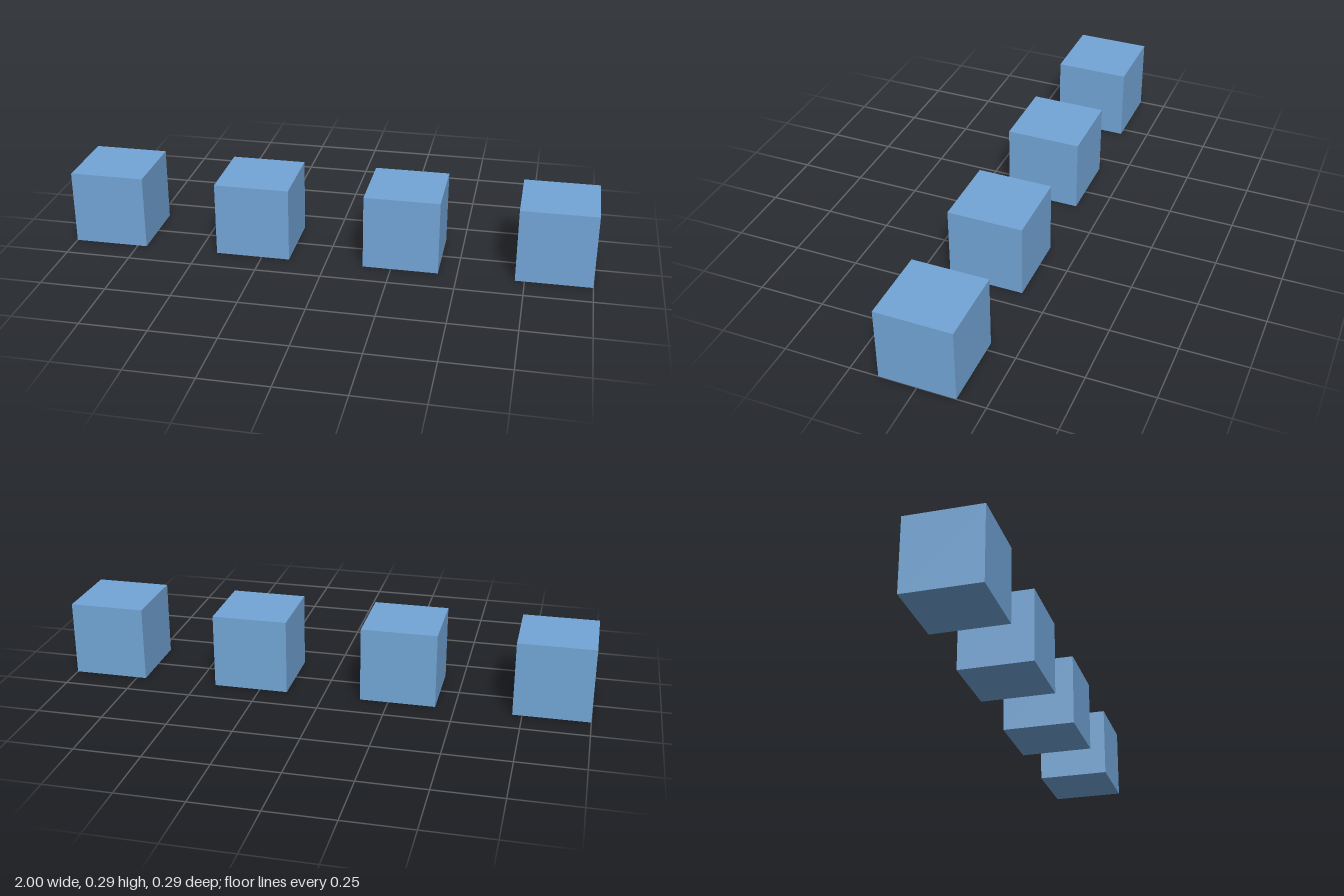
import * as THREE from 'three';

const COUNT = 4;
const SIZE = 2 / 7; // cube edge; the gaps between cubes are the same width

export function createModel() {
  const model = new THREE.Group();
  model.name = 'cubeRow';

  const geometry = new THREE.BoxGeometry(SIZE, SIZE, SIZE);
  const material = new THREE.MeshStandardMaterial({ color: 0x72a5d6 });

  // Row of equal cubes standing on the ground, centred on x = 0
  for (let i = 0; i < COUNT; i++) {
    const cube = new THREE.Mesh(geometry, material);
    cube.name = `cube${i + 1}`;
    cube.position.set((i - (COUNT - 1) / 2) * SIZE * 2, SIZE / 2, 0);
    model.add(cube);
  }
  return model;
}
